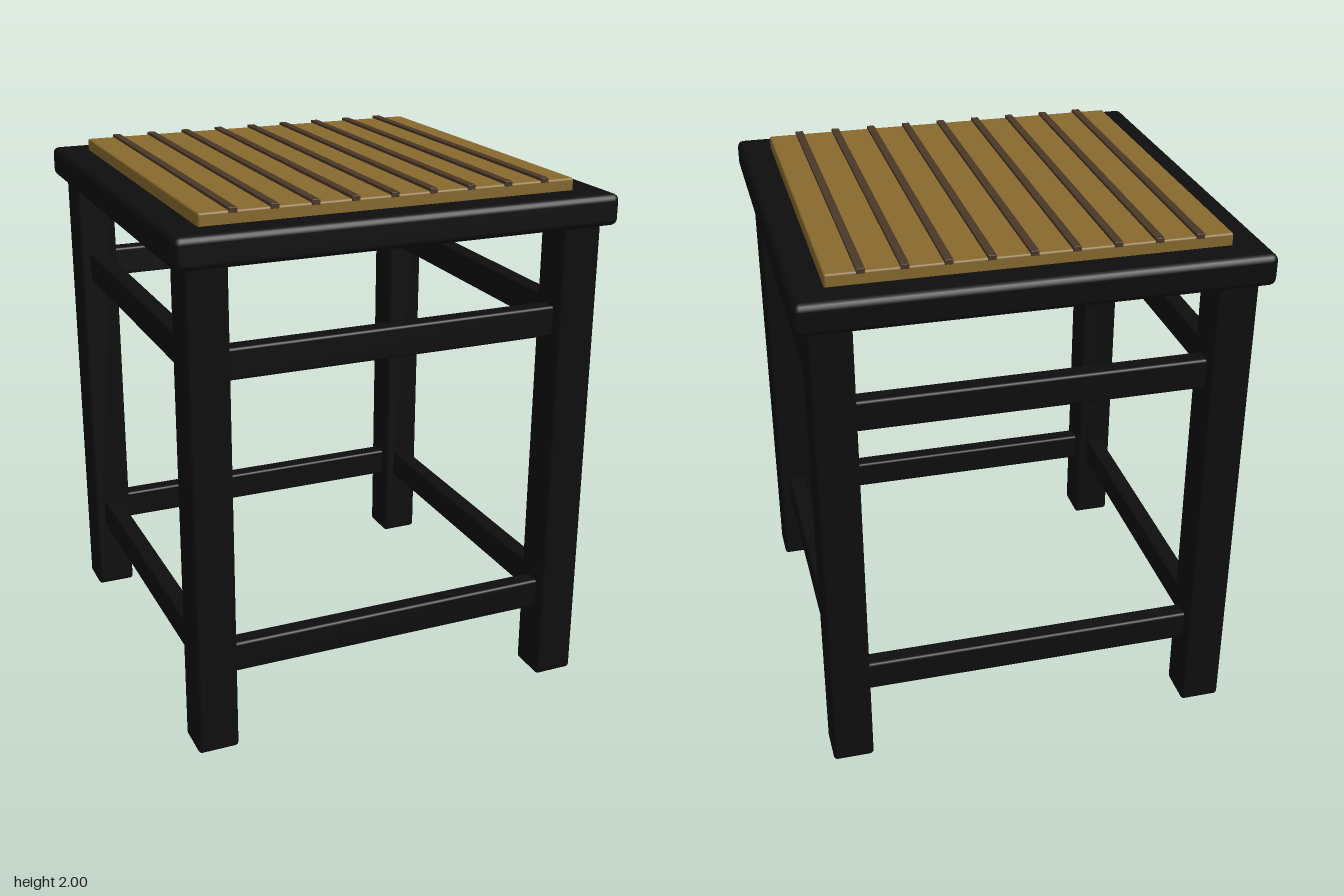
import * as THREE from 'three';
import { RoundedBoxGeometry } from 'three/addons/geometries/RoundedBoxGeometry.js';

export function createModel() {
  const stool = new THREE.Group();
  stool.name = 'stool';

  const material = (name, color) => {
    const m = new THREE.MeshStandardMaterial({ color });
    m.name = name;
    return m;
  };
  const blackWood = material('black wood', 0x0e0e0e);
  const tanSeat = material('tan seat', 0x886a2e);
  const brownSlat = material('brown slat', 0x4b3727);

  // Box with softened edges, placed by its centre
  const addBox = (name, mat, [w, h, d], [x, y, z], bevel) => {
    const mesh = new THREE.Mesh(new RoundedBoxGeometry(w, h, d, 2, bevel), mat);
    mesh.name = name;
    mesh.position.set(x, y, z);
    stool.add(mesh);
  };

  // Seat frame and raised panel
  addBox('seatFrame', blackWood, [1.66, 0.115, 1.66], [0, 1.888, 0], 0.025);
  addBox('seatPanel', tanSeat, [1.415, 0.07, 1.415], [0, 1.955, 0], 0.008);

  // Nine narrow slats running front to back
  for (let i = -4; i <= 4; i++) {
    addBox('seatSlat', brownSlat, [0.03, 0.018, 1.42], [i * 0.1465, 1.991, 0], 0.002);
  }

  // Four square legs
  const c = 0.708;
  for (const x of [-c, c]) {
    for (const z of [-c, c]) {
      addBox('leg', blackWood, [0.155, 1.86, 0.155], [x, 0.93, z], 0.015);
    }
  }

  // Upper and lower rails on all four sides
  for (const y of [0.347, 1.472]) {
    for (const s of [-c, c]) {
      addBox('crossRail', blackWood, [1.4, 0.115, 0.07], [0, y, s], 0.01);
      addBox('sideRail', blackWood, [0.07, 0.115, 1.4], [s, y, 0], 0.01);
    }
  }
  return stool;
}
